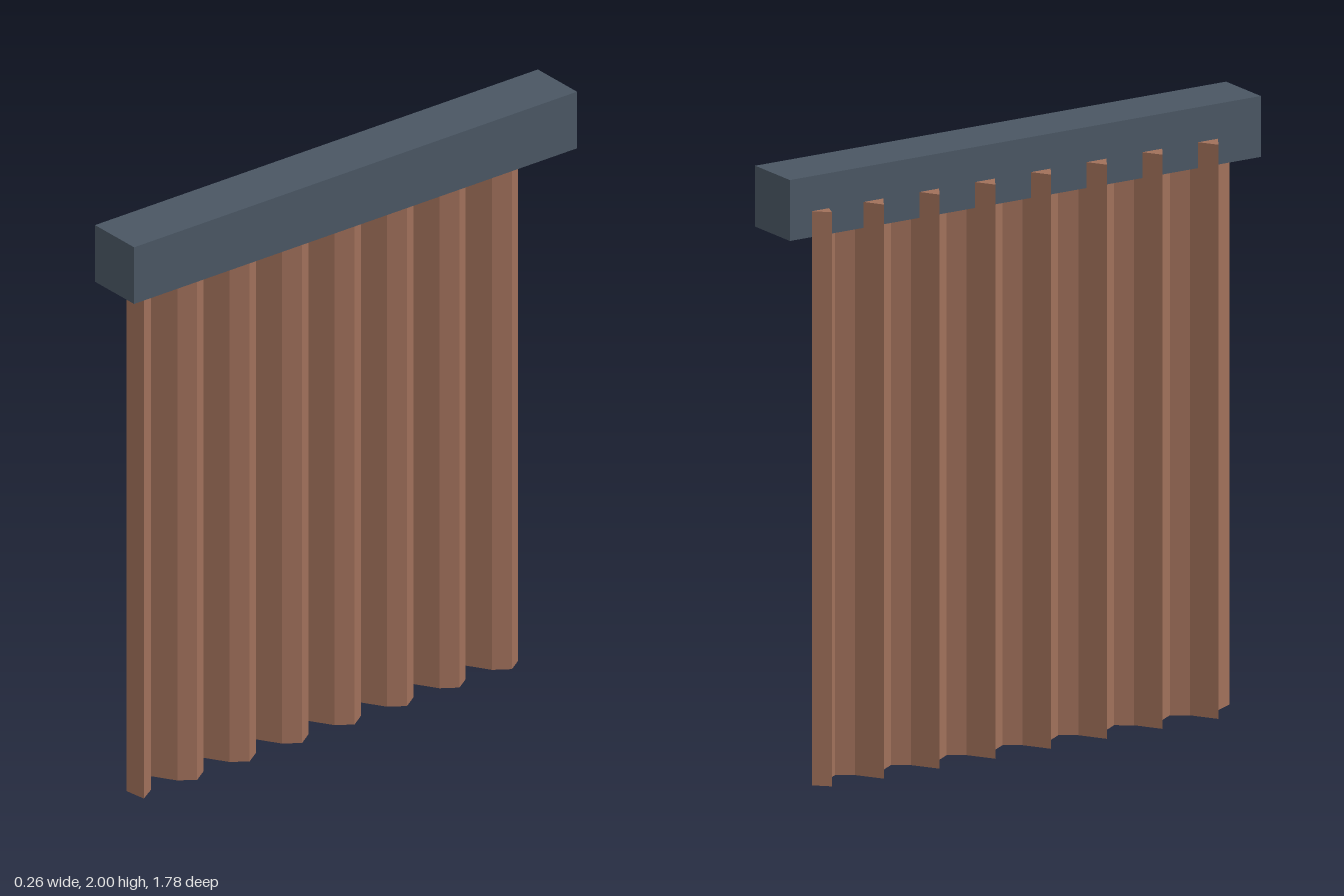
import * as THREE from 'three';

export function createModel() {
  const group = new THREE.Group();

  // Square head rail
  const rail = new THREE.Mesh(
    new THREE.BoxGeometry(0.2, 0.2, 1.78),
    new THREE.MeshStandardMaterial({ color: 0x4a5663 })
  );
  rail.name = 'rail';
  rail.position.set(0.03, 1.9, 0);
  group.add(rail);

  // Scalloped fold line: round towards +x, sharp towards -x
  const segments = 30, step = 0.0527, startZ = 0.796, thickness = 0.075;
  const front = [], back = [];
  for (let i = 0; i <= segments; i++) {
    const z = startZ - i * step;
    const x = -0.13 + 0.12 * Math.abs(Math.cos(i * Math.PI / 4));
    back.push(new THREE.Vector2(x, -z));
    front.push(new THREE.Vector2(x + thickness, -z));
  }
  // Ends cut square to the cloth
  back[0].y = -0.81;
  front[0].y = -0.8;
  back[segments].set(-0.115, 0.76);
  front[segments].set(-0.07, 0.807);

  // Thick pleated cloth, extruded upwards into the rail
  const section = new THREE.Shape([...front, ...back.reverse()]);
  const cloth = new THREE.ExtrudeGeometry(section, { depth: 1.885, bevelEnabled: false });
  cloth.rotateX(-Math.PI / 2);
  const curtain = new THREE.Mesh(
    cloth,
    new THREE.MeshStandardMaterial({ color: 0xa0705a, flatShading: true })
  );
  curtain.name = 'curtain';
  group.add(curtain);

  return group;
}
